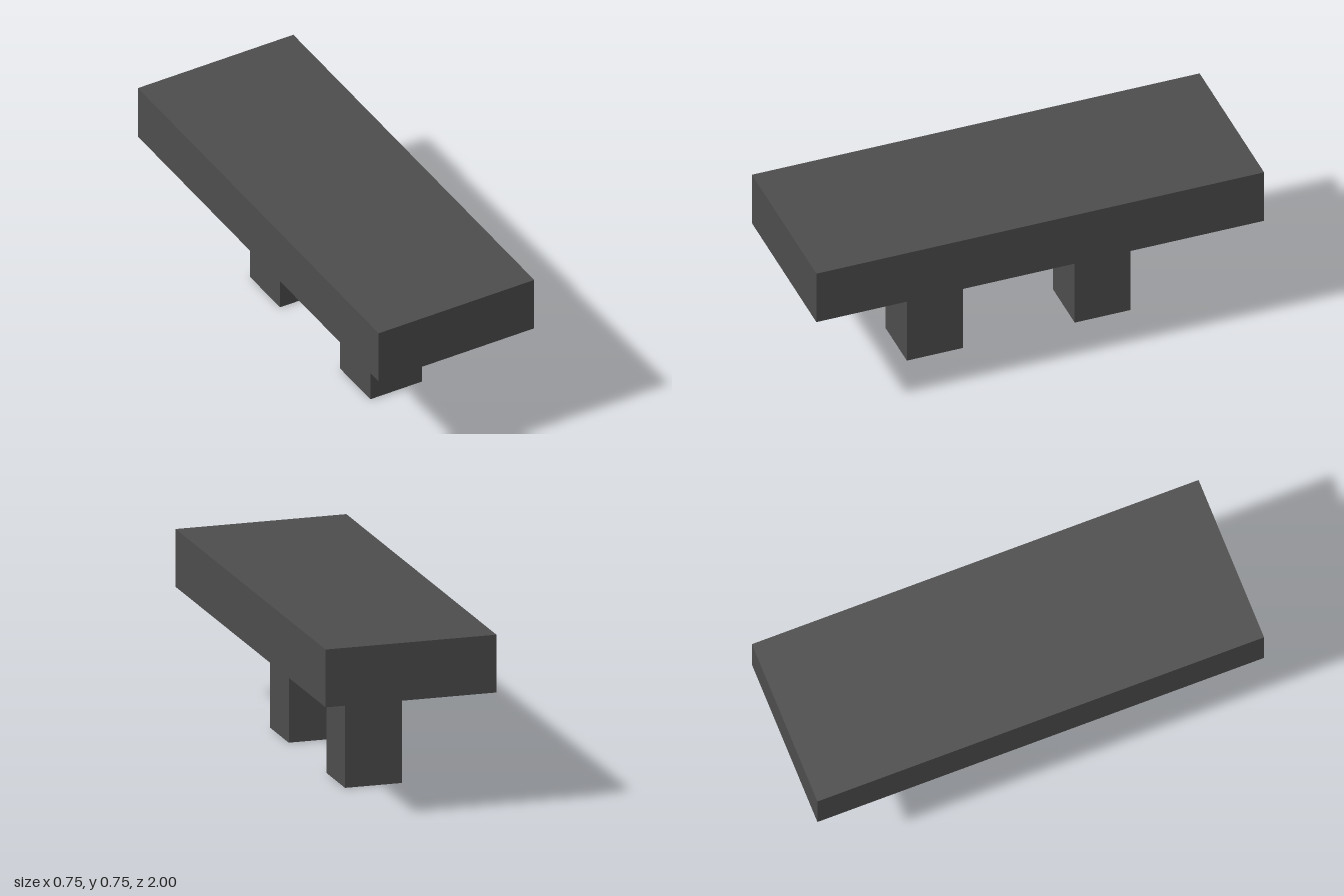
import * as THREE from 'three';

export function createModel() {
  const model = new THREE.Group();
  model.name = 'bench';

  const darkGrey = new THREE.MeshStandardMaterial({ color: 0x4d4d4d });
  darkGrey.name = 'dark grey';

  // Adds a block standing on height y
  const addBlock = (name, width, height, depth, y, z) => {
    const mesh = new THREE.Mesh(new THREE.BoxGeometry(width, height, depth), darkGrey);
    mesh.name = name;
    mesh.position.set(0, y + height / 2, z);
    model.add(mesh);
  };

  // Thick slab seat
  addBlock('seat', 0.75, 0.25, 2, 0.5, 0);

  // Two square posts under the centre line
  addBlock('frontLeg', 0.25, 0.5, 0.25, 0, 0.375);
  addBlock('backLeg', 0.25, 0.5, 0.25, 0, -0.375);

  return model;
}
